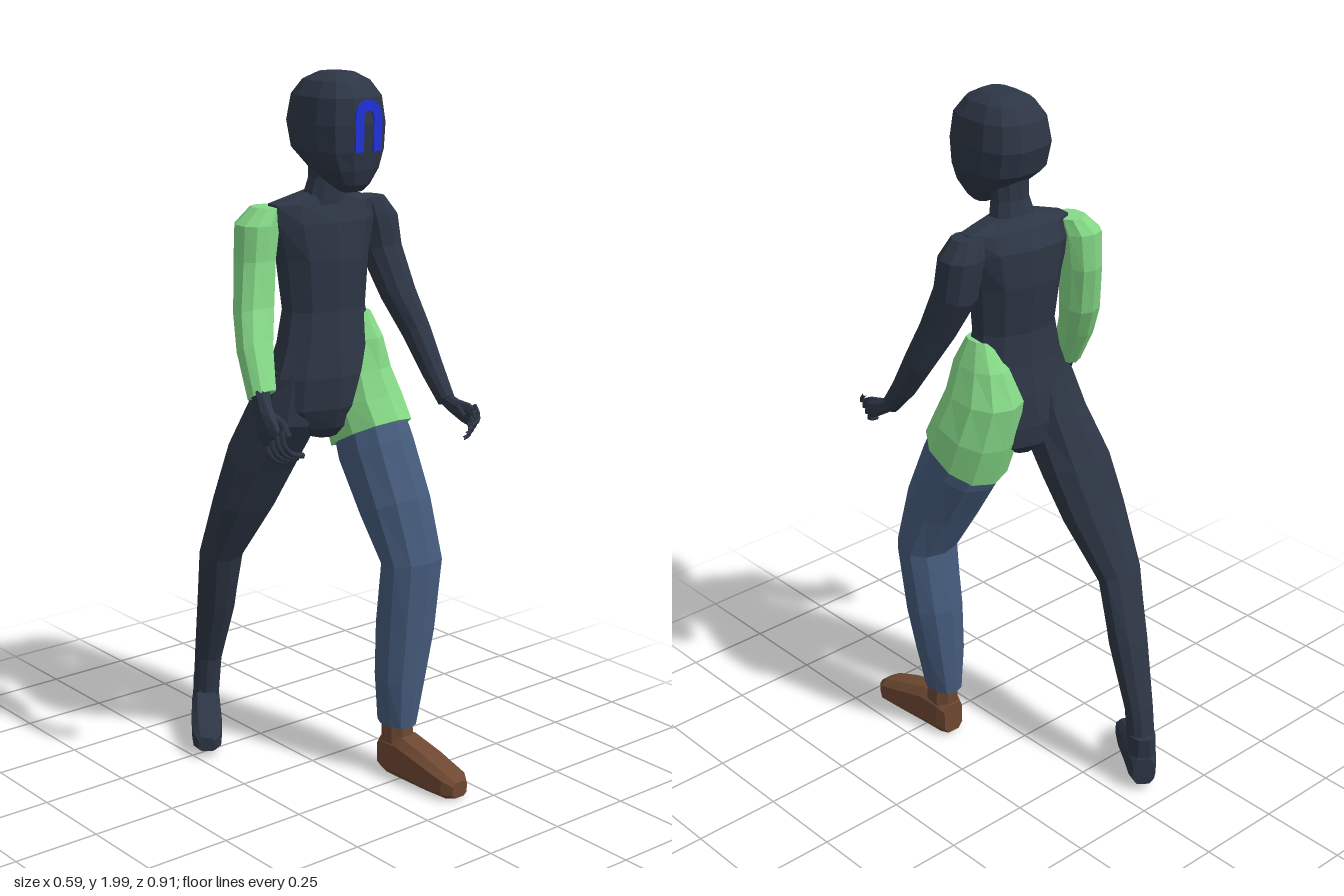
import * as THREE from 'three';

const mat = (name, color) => {
  const m = new THREE.MeshStandardMaterial({ color });
  m.name = name;
  return m;
};

// Skin over rows of [x, y, z, radiusX, radiusZ, tilt?], listed from top to bottom.
// Sections lean with the path unless a tilt is given; power < 1 makes them boxier.
function loft(rows, { sides = 10, power = 0.9, level = false } = {}) {
  const pos = [], idx = [];
  const soft = v => Math.sign(v) * Math.abs(v) ** power;
  rows.forEach(([x, y, z, rx, rz, lean], i) => {
    const p = rows[Math.max(i - 1, 0)], n = rows[Math.min(i + 1, rows.length - 1)];
    const t = lean ?? (level ? 0 : Math.atan2(p[2] - n[2], p[1] - n[1]));
    for (let k = 0; k < sides; k++) {
      const a = (k + 0.5) / sides * Math.PI * 2;
      const u = soft(Math.cos(a)) * rx, v = soft(Math.sin(a)) * rz;
      pos.push(x + u, y - v * Math.sin(t), z + v * Math.cos(t));
    }
  });
  const last = (rows.length - 1) * sides, capA = rows.length * sides, capB = capA + 1;
  pos.push(...rows[0].slice(0, 3), ...rows[rows.length - 1].slice(0, 3));
  for (let k = 0; k < sides; k++) {
    const j = (k + 1) % sides;
    for (let r = 0; r < last; r += sides) {
      idx.push(r + k, r + j, r + sides + k, r + j, r + sides + j, r + sides + k);
    }
    idx.push(capA, j, k, capB, last + k, last + j);
  }
  const g = new THREE.BufferGeometry();
  g.setAttribute('position', new THREE.Float32BufferAttribute(pos, 3));
  g.setIndex(idx);
  const faceted = g.toNonIndexed();
  faceted.computeVertexNormals();
  return faceted;
}

export function createModel() {
  const model = new THREE.Group();
  model.name = 'walkingFigure';
  const suit = mat('darkSuit', 0x2d3645);
  const green = mat('greenCloth', 0x85d987);
  const denim = mat('blueDenim', 0x455b7c);
  const leather = mat('brownLeather', 0x6e4832);
  const blue = mat('brightBlue', 0x2030d8);

  const add = (name, geometry, material, parent = model) => {
    const m = new THREE.Mesh(geometry, material);
    m.name = name;
    parent.add(m);
    return m;
  };

  // Head and neck
  add('head', loft([
    [0.026, 2.0, 0.07, 0.04, 0.05],
    [0.026, 1.98, 0.068, 0.075, 0.09],
    [0.026, 1.94, 0.068, 0.1, 0.122],
    [0.026, 1.87, 0.066, 0.111, 0.132],
    [0.026, 1.8, 0.073, 0.107, 0.12],
    [0.026, 1.75, 0.1, 0.085, 0.085],
    [0.026, 1.71, 0.122, 0.052, 0.05],
    [0.026, 1.69, 0.13, 0.03, 0.025],
  ], { sides: 12, power: 0.72, level: true }), suit);
  add('neck', loft([
    [0.025, 1.82, 0.045, 0.058, 0.06],
    [0.025, 1.72, 0.032, 0.055, 0.045],
    [0.025, 1.64, 0.02, 0.075, 0.055],
  ], { level: true }), suit);

  // Arch painted on the face
  const arch = new THREE.Shape();
  arch.moveTo(-0.045, 0);
  arch.lineTo(-0.045, 0.09);
  arch.absarc(0, 0.09, 0.045, Math.PI, 0, true);
  arch.lineTo(0.045, 0);
  arch.lineTo(0.017, 0);
  arch.lineTo(0.017, 0.09);
  arch.absarc(0, 0.09, 0.017, 0, Math.PI, false);
  arch.lineTo(-0.017, 0);
  const mark = new THREE.ExtrudeGeometry(arch, { depth: 0.009, bevelEnabled: false, curveSegments: 6 });
  add('faceArch', mark, blue).position.set(0.032, 1.8, 0.188);

  // Torso, turned slightly so the left shoulder leads
  add('torso', loft([
    [0.025, 1.68, 0.015, 0.06, 0.045],
    [0.027, 1.652, 0.008, 0.165, 0.062],
    [0.025, 1.6, 0.005, 0.16, 0.085],
    [0.025, 1.5, 0.01, 0.135, 0.092],
    [0.025, 1.36, 0.018, 0.122, 0.08],
    [0.025, 1.27, 0.02, 0.14, 0.088],
    [0.022, 1.18, 0.018, 0.168, 0.1],
    [0.015, 1.09, 0.01, 0.165, 0.1],
    [0.02, 1.03, 0.0, 0.11, 0.085],
    [0.025, 0.995, 0.0, 0.04, 0.05],
  ], { level: true }), suit).rotation.y = -0.13;

  // Left leg: short, trouser leg
  add('leftShort', loft([
    [0.125, 1.34, 0.04, 0.032, 0.045, 0],
    [0.133, 1.27, 0.03, 0.055, 0.09, 0],
    [0.13, 1.18, 0.02, 0.09, 0.116, -0.05],
    [0.14, 1.08, 0.045, 0.106, 0.123, -0.28],
    [0.148, 0.992, 0.078, 0.105, 0.13, -0.47],
  ]), green);
  add('leftTrouserLeg', loft([
    [0.147, 1.03, 0.065, 0.092, 0.112, -0.45],
    [0.148, 0.95, 0.1, 0.1, 0.116],
    [0.155, 0.8, 0.175, 0.1, 0.102],
    [0.172, 0.65, 0.229, 0.092, 0.077],
    [0.165, 0.45, 0.212, 0.084, 0.079],
    [0.153, 0.3, 0.206, 0.07, 0.071],
    [0.146, 0.16, 0.203, 0.046, 0.062, 0],
  ]), denim);

  // Right leg, trailing behind
  add('rightLeg', loft([
    [-0.07, 1.2, 0.0, 0.075, 0.08],
    [-0.08, 1.08, -0.02, 0.093, 0.1],
    [-0.103, 0.93, -0.1, 0.108, 0.085],
    [-0.12, 0.8, -0.155, 0.1, 0.07],
    [-0.143, 0.62, -0.24, 0.07, 0.048],
    [-0.115, 0.44, -0.308, 0.058, 0.052],
    [-0.1, 0.25, -0.372, 0.042, 0.038],
    [-0.097, 0.08, -0.395, 0.036, 0.04, 0],
  ]), suit);

  // Feet: ankle shaft plus a wedge that narrows to the toe
  function foot(name, material, position, yaw, size) {
    const g = new THREE.Group();
    g.name = name;
    add('ankle', loft([
      [0, 0.18, 0.0, 0.042, 0.05],
      [0, 0.08, 0.005, 0.046, 0.05],
    ], { sides: 8, level: true }), material, g);
    add('shoe', loft([
      [0, 0.06, -0.046, 0.036, 0.05, -Math.PI / 2],
      [0, 0.068, -0.015, 0.046, 0.064, -Math.PI / 2],
      [0.002, 0.07, 0.05, 0.049, 0.066, -Math.PI / 2],
      [0.008, 0.056, 0.15, 0.052, 0.052, -Math.PI / 2],
      [0.012, 0.043, 0.225, 0.047, 0.038, -Math.PI / 2],
      [0.012, 0.037, 0.255, 0.028, 0.024, -Math.PI / 2],
    ], { sides: 8, power: 0.6 }), material, g);
    g.position.set(...position);
    g.rotation.y = yaw;
    g.scale.setScalar(size);
    model.add(g);
  }
  foot('leftBoot', leather, [0.145, 0, 0.205], 0, 1);
  foot('rightFoot', suit, [-0.095, 0.015, -0.395], -0.666, 0.9);

  // Arms
  add('rightSleeve', loft([
    [-0.135, 1.645, -0.03, 0.04, 0.045, 0],
    [-0.16, 1.6, -0.038, 0.06, 0.062, 0],
    [-0.17, 1.5, -0.037, 0.055, 0.06],
    [-0.193, 1.37, -0.012, 0.058, 0.055],
    [-0.222, 1.28, 0.03, 0.052, 0.05],
    [-0.247, 1.165, 0.092, 0.039, 0.042],
  ]), green);
  add('leftArm', loft([
    [0.185, 1.65, 0.02, 0.04, 0.045, 0],
    [0.207, 1.6, 0.02, 0.06, 0.062, 0],
    [0.22, 1.5, 0.03, 0.056, 0.06],
    [0.235, 1.38, 0.088, 0.05, 0.048],
    [0.257, 1.28, 0.14, 0.038, 0.042],
    [0.265, 1.18, 0.2, 0.03, 0.034],
    [0.26, 1.105, 0.265, 0.022, 0.026],
  ]), suit);

  // Hands with fingers curling inward; s is +1 for the left
  function hand(name, s, position, pitch, size) {
    const g = new THREE.Group();
    g.name = name;
    const digit = (label, pts, r) => add(label, new THREE.TubeGeometry(
      new THREE.CatmullRomCurve3(pts.map(p => new THREE.Vector3(...p))), 6, r, 5), suit, g);
    add('palm', loft([
      [0, 0.03, -0.015, 0.026, 0.026],
      [s * 0.015, -0.035, 0.025, 0.022, 0.033],
      [s * 0.028, -0.075, 0.06, 0.018, 0.045],
      [s * 0.03, -0.1, 0.082, 0.012, 0.042],
    ], { sides: 8 }), suit, g);
    for (let i = 0; i < 4; i++) {
      const z = 0.052 + i * 0.023, y = -0.105 + i * 0.011;
      digit('finger', [
        [s * 0.03, y + 0.01, z], [s * 0.026, y - 0.035, z + 0.008],
        [s * 0.002, y - 0.06, z + 0.012], [-s * 0.032, y - 0.068, z + 0.012],
      ], 0.0085);
    }
    digit('thumb', [
      [s * 0.012, -0.035, 0.04], [-s * 0.008, -0.06, 0.075], [-s * 0.014, -0.095, 0.095],
    ], 0.01);
    g.position.set(...position);
    g.rotation.x = pitch;
    g.scale.setScalar(size);
    model.add(g);
  }
  hand('rightHand', -1, [-0.252, 1.165, 0.1], 0, 1);
  hand('leftHand', 1, [0.256, 1.105, 0.265], -0.5, 0.7);

  return model;
}
